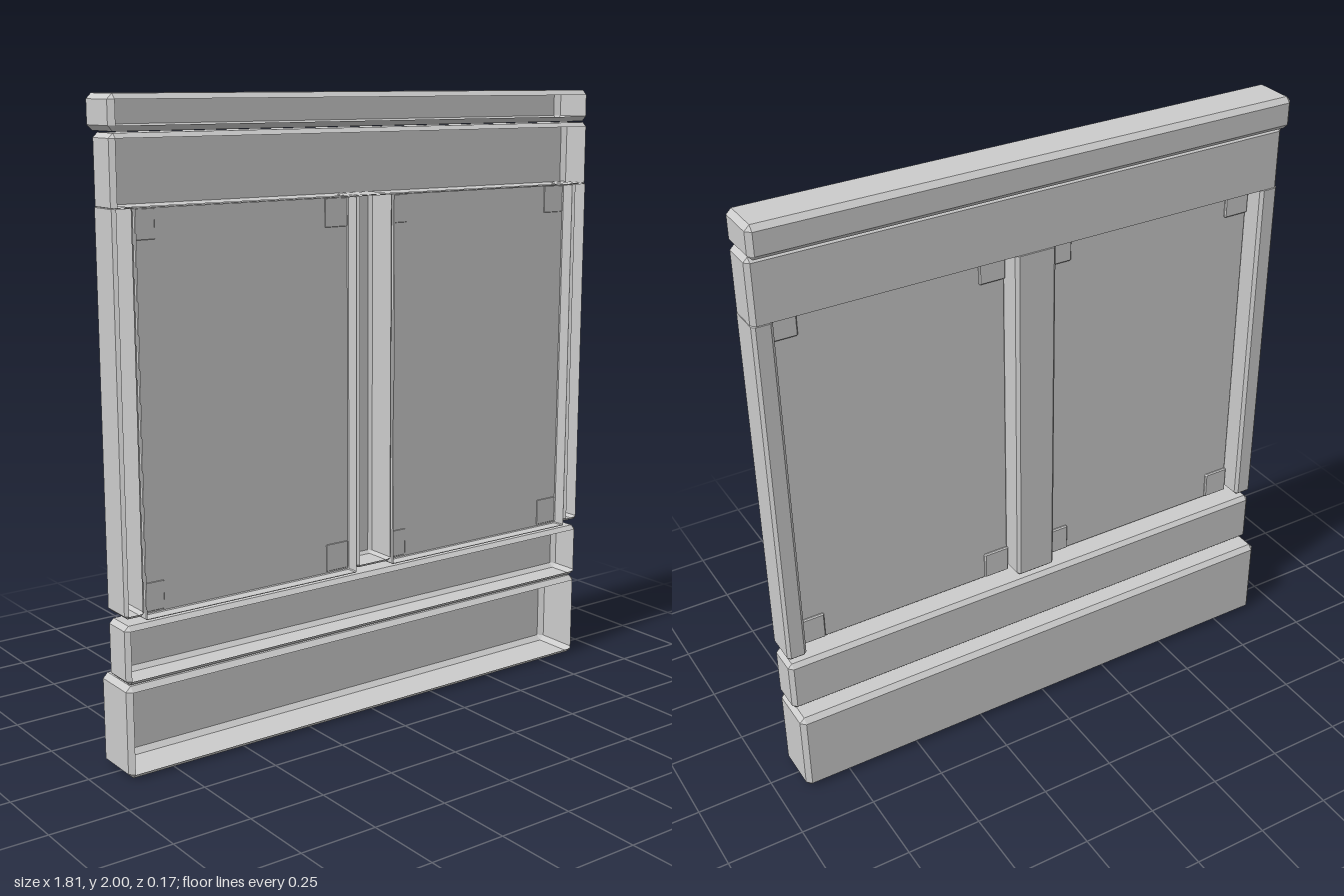
import * as THREE from 'three';

const material = new THREE.MeshStandardMaterial({ color: 0xcccccc, flatShading: true, side: THREE.DoubleSide });

// Chamfered box without its front face; top and bottom chamfer heights can differ.
function shell(name, [x0, x1], [y0, y1], [z0, z1], c, top = c, bottom = c) {
  const section = (z, k) => [
    [x1, y0 + bottom], [x1, y1 - top],
    [x1 - c, y1], [x0 + c, y1],
    [x0, y1 - top], [x0, y0 + bottom],
    [x0 + c, y0], [x1 - c, y0],
  ].map(([x, y]) => k
    ? [THREE.MathUtils.clamp(x, x0 + c, x1 - c), THREE.MathUtils.clamp(y, y0 + bottom, y1 - top), z]
    : [x, y, z]);
  const rings = [section(z0, true), section(z0 + c, false), section(z1 - c, false), section(z1, true)];

  const index = [];
  for (let r = 0; r < rings.length - 1; r++) {
    for (let i = 0; i < 8; i++) {
      const a = r * 8 + i, b = r * 8 + (i + 1) % 8;
      index.push(a, b, b + 8, a, b + 8, a + 8);
    }
  }
  // back face
  index.push(0, 4, 2, 0, 6, 4);

  const geometry = new THREE.BufferGeometry();
  geometry.setAttribute('position', new THREE.Float32BufferAttribute(rings.flat(2), 3));
  geometry.setIndex(index);
  const flat = geometry.toNonIndexed();
  flat.computeVertexNormals();
  const mesh = new THREE.Mesh(flat, material);
  mesh.name = name;
  return mesh;
}

export function createModel() {
  const group = new THREE.Group();
  group.name = 'wallPanel';
  const W = [-0.905, 0.905];
  const front = 0.0875;
  const frameZ = [-0.032, front];
  const stileY = [0.5, 1.69];

  // Horizontal members
  group.add(
    shell('baseboard', W, [0, 0.29], [-0.0875, front], 0.016),
    shell('lowerRail', W, [0.295, 0.477], frameZ, 0.014),
    shell('upperRail', W, [1.685, 1.893], frameZ, 0.014, 0.014, 0.004),
    shell('capRail', W, [1.897, 2], [-0.068, front], 0.016),
  );

  // Vertical stiles
  group.add(shell('centreStile', [-0.07, 0.07], stileY, frameZ, 0.01, 0.004, 0.01));
  for (const s of [-1, 1]) {
    const span = (a, b) => (s > 0 ? [a, b] : [-b, -a]);
    group.add(shell('sideStile', span(0.84, 0.905), stileY, frameZ, 0.01, 0.004, 0.01));

    // Recessed panel with a small plate in each corner
    group.add(shell('recessedPanel', span(0.072, 0.838), [0.487, 1.688], [0.04, front], 0.003));
    for (const x of [0.072, 0.748]) {
      for (const y of [0.492, 1.59]) {
        group.add(shell('cornerPlate', span(x, x + 0.09), [y, y + 0.094], [0.03, 0.0415], 0.004));
      }
    }
  }
  return group;
}
